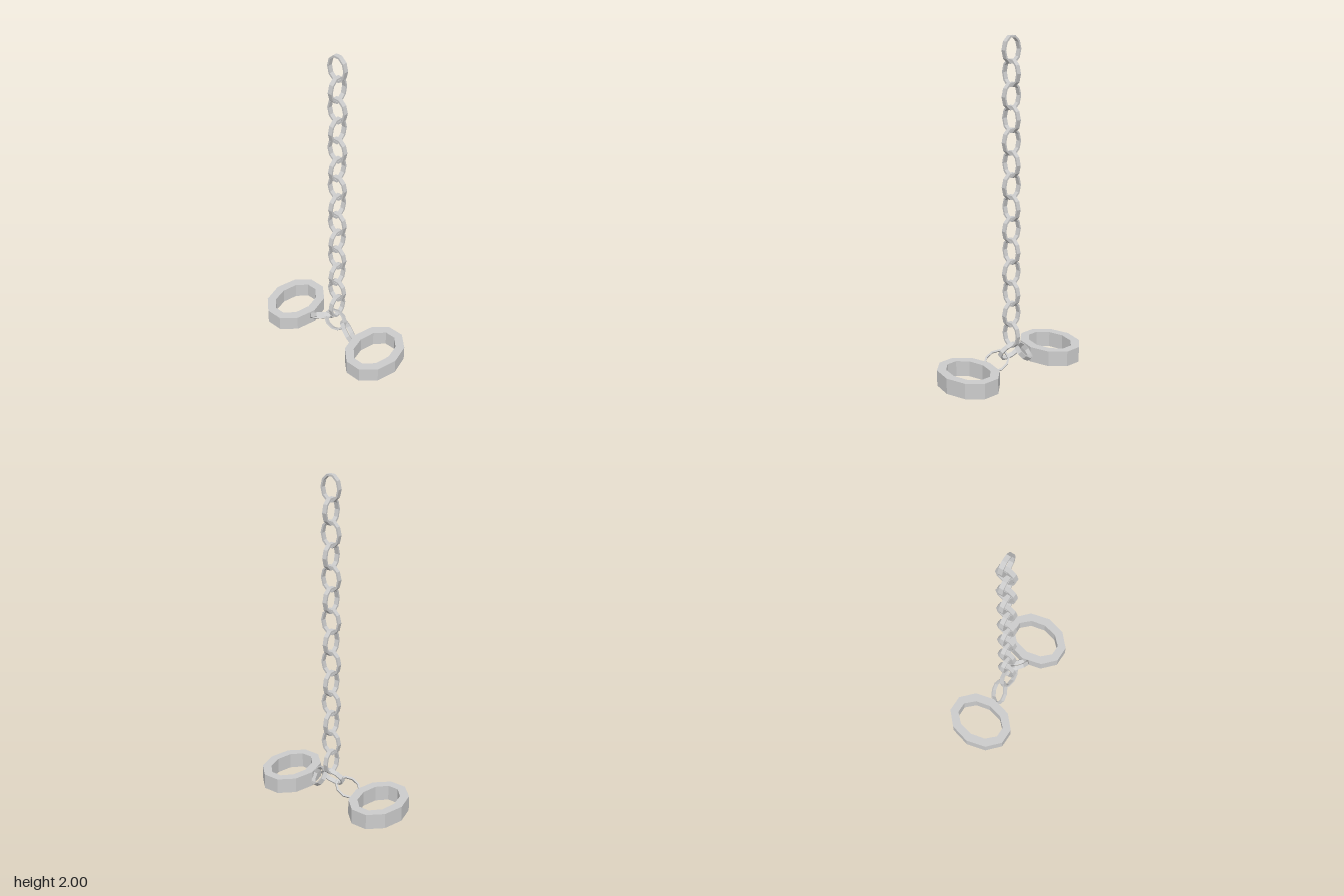
import * as THREE from 'three';

const material = new THREE.MeshStandardMaterial({ color: 0xcccccc, flatShading: true });

// Corners of a ten-sided oval
function decagon(rx, ry) {
  return Array.from({ length: 10 }, (_, i) => {
    const a = (i / 10) * Math.PI * 2;
    return new THREE.Vector2(rx * Math.cos(a), ry * Math.sin(a));
  });
}

// Flat oval band, long axis on y, pierced along z
function ovalBand(rx, ry, innerRx, innerRy, depth) {
  const shape = new THREE.Shape(decagon(rx, ry));
  shape.holes.push(new THREE.Path(decagon(innerRx, innerRy).reverse()));
  const geometry = new THREE.ExtrudeGeometry(shape, { depth, bevelEnabled: false });
  geometry.translate(0, 0, -depth / 2);
  return geometry;
}

export function createModel() {
  const model = new THREE.Group();
  const linkGeometry = ovalBand(0.063, 0.081, 0.052, 0.069, 0.027);
  const cuffGeometry = ovalBand(0.164, 0.211, 0.11, 0.157, 0.095);
  cuffGeometry.rotateX(-Math.PI / 2);

  function add(name, geometry, x, y, z) {
    const mesh = new THREE.Mesh(geometry, material);
    mesh.name = name;
    mesh.position.set(x, y, z);
    model.add(mesh);
    return mesh;
  }

  // Link laid out by its long axis and the direction of its opening
  function addLink(name, position, long, opening) {
    const link = add(name, linkGeometry, ...position);
    const y = new THREE.Vector3(...long).normalize();
    const x = new THREE.Vector3().crossVectors(y, new THREE.Vector3(...opening)).normalize();
    const z = new THREE.Vector3().crossVectors(x, y);
    link.quaternion.setFromRotationMatrix(new THREE.Matrix4().makeBasis(x, y, z));
  }

  // Hanging chain, alternate links turned a quarter
  for (let i = 0; i < 14; i++) {
    const link = add('chainLink', linkGeometry, 0.008, 1.923 - i * 0.13, -0.017);
    link.rotation.y = i % 2 ? Math.PI / 2 : 0;
  }

  // Links joining the chain to the cuffs
  addLink('middleLink', [0.008, 0.125, -0.003], [1, 0, 0], [0, 0.47, 0.88]);
  addLink('rightCuffLink', [-0.107, 0.088, -0.002], [0.85, 0.4, -0.3], [-0.54, 0.7, -0.6]);
  addLink('leftCuffLink', [0.114, 0.09, -0.002], [0.83, -0.4, 0.38], [0.59, 0.58, -0.68]);

  // Cuffs
  for (const side of [-1, 1]) {
    add(side > 0 ? 'leftCuff' : 'rightCuff', cuffGeometry, side * 0.333, 0.0475, 0);
  }

  return model;
}
